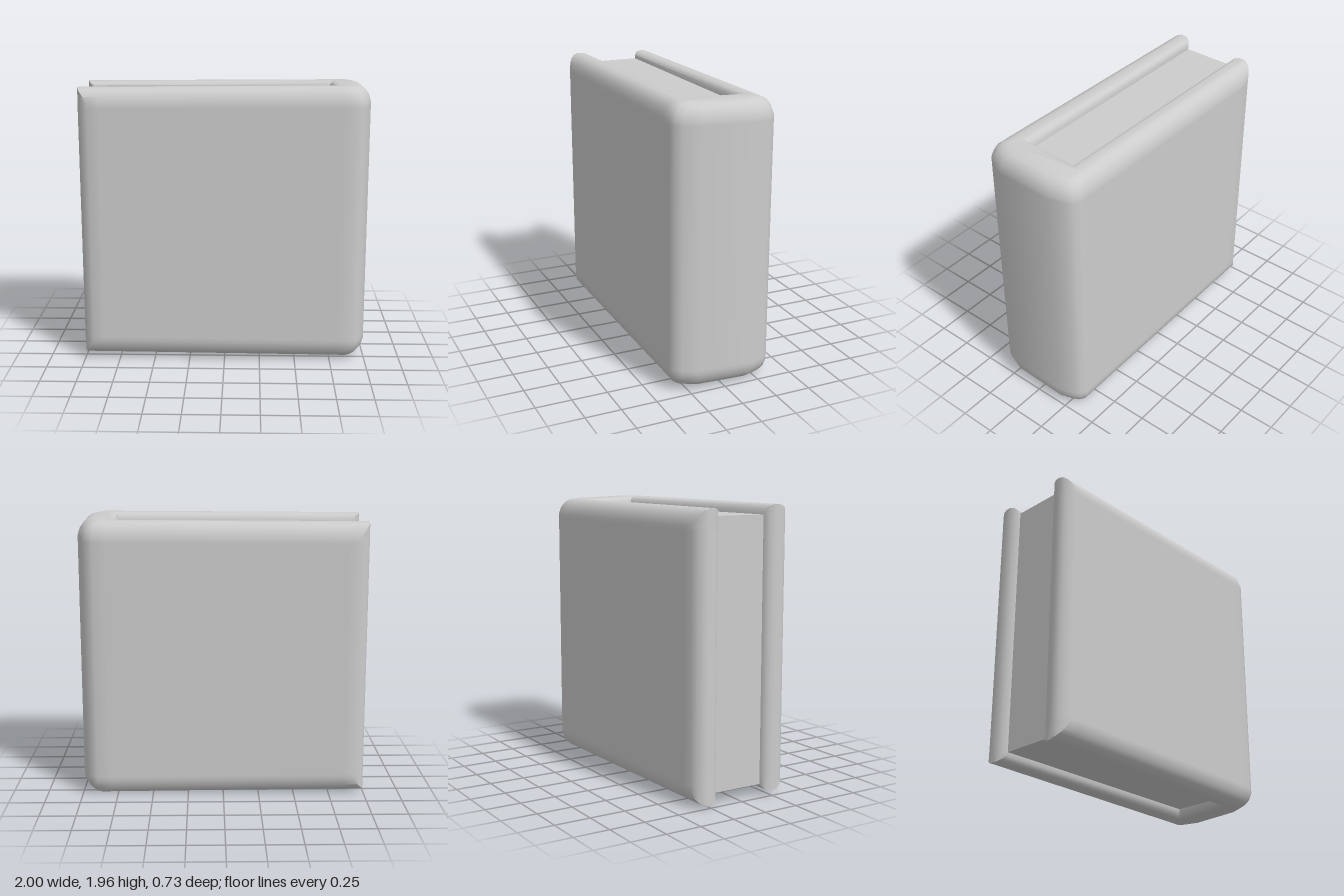
import * as THREE from 'three';
import { toCreasedNormals } from 'three/addons/utils/BufferGeometryUtils.js';

const OUT = 0.365, IN = 0.18; // outer and inner half depth of the cover

// rounding of the fore edge: distance from the outer face -> setback in x
const END = [[0, 0.07], [0.02, 0.035], [0.04, 0.015], [0.07, 0], [0.125, 0], [0.16, 0.015], [0.185, 0.05]];
function setback(u) {
  for (let i = 1; i < END.length; i++) {
    const [a, p] = END[i - 1], [b, q] = END[i];
    if (u <= b) return p + (q - p) * Math.max(0, (u - a) / (b - a));
  }
  return END[END.length - 1][1];
}

// U-shaped outline [x, z] of the cover, pulled in by o outside and i inside
function outline(o, i) {
  const z0 = IN + i, z1 = OUT - o, half = [];
  const steps = 8;
  // board end, from the inner to the outer side
  for (let k = 0; k <= steps; k++) {
    const z = z0 + (z1 - z0) * k / steps;
    half.push([-1 + setback(OUT - z), z]);
  }
  // board and rounded spine corner
  for (const x of [-0.85, -0.3, 0.3, 0.8]) half.push([x, z1]);
  half.push([0.89 - o * 0.4, z1], [0.935 - o * 0.7, z1 - 0.02], [0.965 - o * 0.9, z1 - 0.06], [1 - o, 0.2 - o * 0.5]);
  const back = half.map(([x, z]) => [x, -z]).reverse();
  return [...half, ...back, [0.74 + i, -z0], [0.74 + i, z0]];
}

// cover: outlines stacked from bottom to top, with rounded rims
function coverGeometry() {
  const rim = [[0, 0.09, 0.05], [0.01, 0.06, 0.025], [0.03, 0.035, 0.008], [0.06, 0.015, 0], [0.11, 0, 0], [0.14, 0, 0]];
  const levels = [
    ...rim.map(([d, o, i]) => ({ t: d, o, i })),
    ...rim.map(([d, o, i]) => ({ t: 1.94 - d, o, i })).reverse(),
  ];
  const pos = [], index = [];
  let n = 0;
  for (const { t, o, i } of levels) {
    const ring = outline(o, i);
    n = ring.length;
    for (const [x, z] of ring) {
      // slightly uneven top and bottom
      const low = 0.02 - 0.008 * x + 0.04 * z, high = 1.945 + 0.007 * x + 0.033 * z;
      pos.push(x, low + (high - low) * t / 1.94, z);
    }
  }
  for (let l = 0; l < levels.length - 1; l++) {
    for (let j = 0; j < n; j++) {
      const a = l * n + j, b = l * n + (j + 1) % n;
      index.push(a, b, b + n, a, b + n, a + n);
    }
  }
  // flat strips closing the two rims
  const flat = outline(rim[0][1], rim[0][2]).map(([x, z]) => new THREE.Vector2(x, -z));
  const top = (levels.length - 1) * n;
  for (const [a, b, c] of THREE.ShapeUtils.triangulateShape(flat, [])) {
    index.push(top + a, top + b, top + c, a, c, b);
  }
  const g = new THREE.BufferGeometry();
  g.setAttribute('position', new THREE.Float32BufferAttribute(pos, 3));
  g.setIndex(index);
  return toCreasedNormals(g, 0.75);
}

export function createModel() {
  const model = new THREE.Group();
  model.name = 'book';
  const grey = new THREE.MeshStandardMaterial({ color: 0xcccccc });
  grey.name = 'light grey';

  const cover = new THREE.Mesh(coverGeometry(), grey);
  cover.name = 'cover';
  model.add(cover);

  // page block recessed between the boards
  const pages = new THREE.Mesh(new THREE.BoxGeometry(1.7, 1.8, 2 * IN + 0.01), grey);
  pages.name = 'pages';
  pages.position.set(-0.1, 0.98, 0);
  model.add(pages);
  return model;
}
